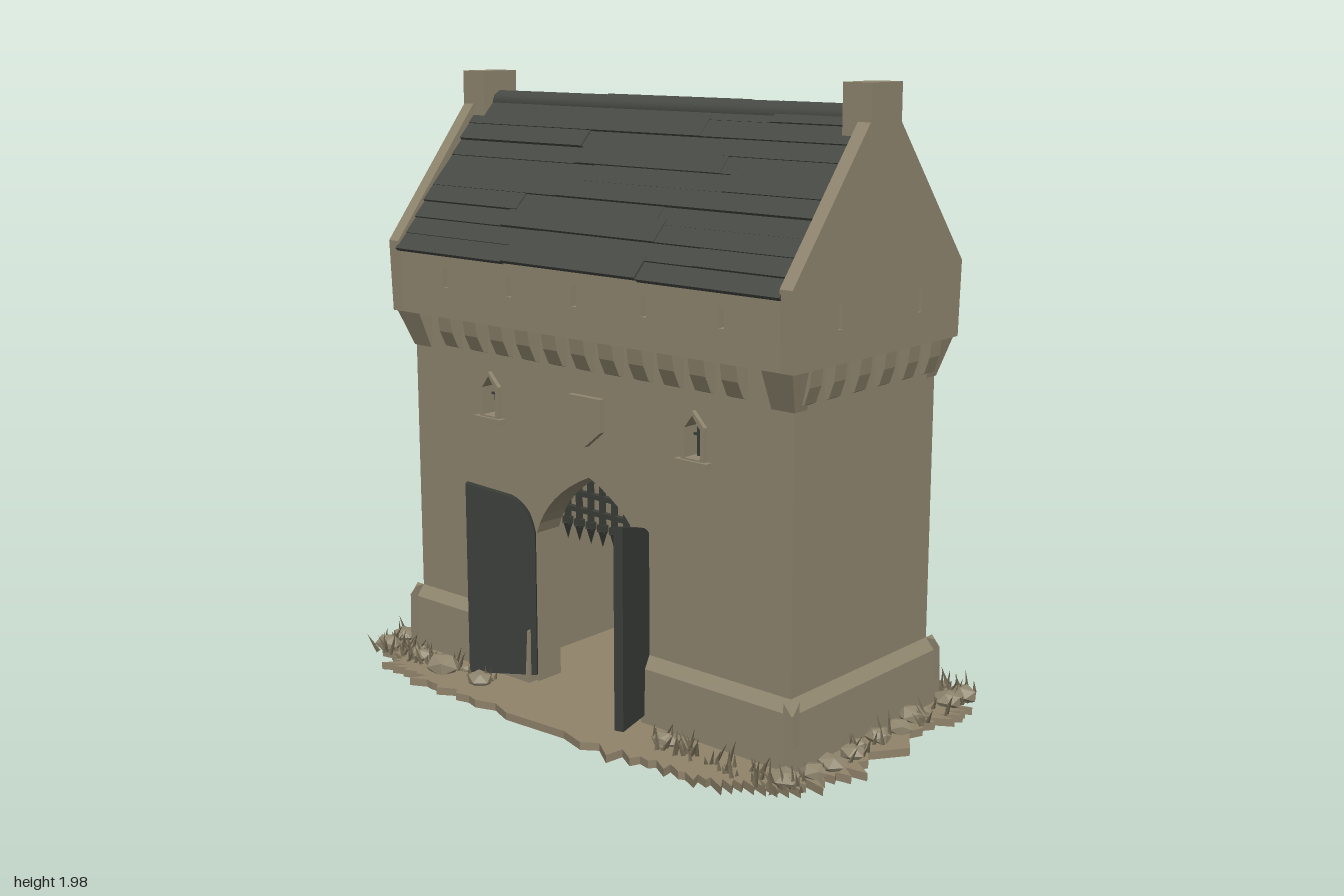
import * as THREE from 'three';
import { mergeGeometries } from 'three/addons/utils/BufferGeometryUtils.js';

const mat = (name, color) => Object.assign(new THREE.MeshStandardMaterial({ color }), { name });
const stone = mat('stone', 0x90866f);
const slate = mat('roof slate', 0x484a45);
const wood = mat('door wood', 0x393d38);
const iron = mat('dark iron', 0x3c3e39);
const earth = mat('earth', 0x90836b);
const grassMat = mat('dry grass', 0x7d735c);

let seed = 7;
const rnd = (a = 0, b = 1) => {
  seed = (seed * 16807) % 2147483647;
  return a + (b - a) * (seed / 2147483647);
};

function add(parent, name, geo, material, x = 0, y = 0, z = 0) {
  const m = new THREE.Mesh(geo, material);
  m.name = name;
  m.position.set(x, y, z);
  parent.add(m);
  return m;
}
const box = (w, h, d) => new THREE.BoxGeometry(w, h, d);
const poly = (pts) => new THREE.Shape(pts.map(([x, y]) => new THREE.Vector2(x, y)));
const path = (pts) => new THREE.Path(pts.map(([x, y]) => new THREE.Vector2(x, y)));
const extrude = (shape, depth) =>
  new THREE.ExtrudeGeometry(shape, { depth, bevelEnabled: false, curveSegments: 8 });

// A moulding: profile of (outward, up) points swept along x
const strip = (profile, width) =>
  extrude(poly(profile), width).translate(0, 0, -width / 2).rotateY(-Math.PI / 2);

// Pointed window outline
const lancet = (x, y, w, h) =>
  [[x - w / 2, y], [x + w / 2, y], [x + w / 2, y + h * 0.7], [x, y + h], [x - w / 2, y + h * 0.7]];
const rect = (x, y, w, h) =>
  [[x - w / 2, y], [x + w / 2, y], [x + w / 2, y + h], [x - w / 2, y + h]];

const plinthProfile = [[0, 0], [0.035, 0], [0.03, 0.2], [0, 0.235]];
const corbelProfile = [[-0.01, 1.09], [0.02, 1.1], [0.045, 1.15], [0.055, 1.21], [-0.01, 1.21]];
const WINDOW_X = 0.435;

// One long side: wall with gate arch, windows, corbels, parapet, portcullis, roof slope
function longSide(name) {
  const g = new THREE.Group();
  g.name = name;
  const wall = new THREE.Shape();
  wall.moveTo(-0.8, 0).lineTo(-0.235, 0).lineTo(-0.235, 0.53);
  wall.quadraticCurveTo(-0.19, 0.67, 0, 0.755).quadraticCurveTo(0.19, 0.67, 0.235, 0.53);
  wall.lineTo(0.235, 0).lineTo(0.8, 0).lineTo(0.8, 1.22).lineTo(-0.8, 1.22).closePath();
  for (const s of [-1, 1]) wall.holes.push(path(lancet(s * WINDOW_X, 0.89, 0.06, 0.13)));
  add(g, 'gateWall', extrude(wall, 0.1), stone, 0, 0, 0.25);

  for (const s of [-1, 1]) {
    add(g, 'plinth', strip(plinthProfile, 0.585), stone, s * 0.54, 0, 0.35);
    const frame = poly(lancet(s * WINDOW_X, 0.88, 0.09, 0.155));
    frame.holes.push(path(lancet(s * WINDOW_X, 0.89, 0.06, 0.13)));
    add(g, 'windowFrame', extrude(frame, 0.02), stone, 0, 0, 0.345);
    add(g, 'windowSill', box(0.125, 0.018, 0.04), stone, s * WINDOW_X, 0.876, 0.355);
    for (const dx of [-0.012, 0.012])
      add(g, 'windowBar', box(0.007, 0.12, 0.007), iron, s * WINDOW_X + dx, 0.95, 0.32);
    add(g, 'windowCrossBar', box(0.06, 0.007, 0.007), iron, s * WINDOW_X, 0.955, 0.32);
  }
  const shield = poly([[-0.068, 1.015], [-0.068, 0.91], [0, 0.855], [0.068, 0.91], [0.068, 1.015]]);
  add(g, 'blankShield', extrude(shield, 0.025), stone, 0, 0, 0.345);

  // Corbels and parapet with arrow slits
  for (let i = -5; i <= 5; i++)
    add(g, 'corbel', strip(corbelProfile, 0.06), stone, i * 0.12, 0, 0.35);
  const band = poly(rect(0, 1.2, 1.64, 0.225));
  for (const x of [-0.58, -0.285, 0, 0.285, 0.58]) band.holes.push(path(rect(x, 1.3, 0.022, 0.065)));
  add(g, 'parapet', extrude(band, 0.1), stone, 0, 0, 0.31);

  // Portcullis
  for (let i = -4; i <= 4; i++) {
    add(g, 'portcullisBar', box(0.016, 0.24, 0.016), iron, i * 0.052, 0.67, 0.235);
    const spike = add(g, 'portcullisSpike', new THREE.ConeGeometry(0.02, 0.055, 4), iron, i * 0.052, 0.52, 0.235);
    spike.rotation.x = Math.PI;
    add(g, 'spikeCollar', box(0.03, 0.025, 0.02), iron, i * 0.052, 0.555, 0.235);
  }
  for (const y of [0.6, 0.655, 0.71]) add(g, 'portcullisRail', box(0.47, 0.016, 0.02), iron, 0, y, 0.235);

  // Overlapping slate courses of uneven length
  const rows = 10, angle = Math.atan2(0.49, 0.42);
  for (let r = 0; r < rows; r++) {
    const t = (r + 0.5) / rows, cuts = [-0.8, rnd(-0.5, -0.1), rnd(0.1, 0.5), 0.8];
    for (let c = 0; c < 3; c++) {
      const lift = rnd(-0.003, 0.003);
      const slab = add(g, 'slateCourse', box(cuts[c + 1] - cuts[c], 0.014, 0.082), slate,
        (cuts[c] + cuts[c + 1]) / 2, 1.905 - t * 0.49 + lift, t * 0.42 + lift);
      slab.rotation.x = angle - 0.06;
    }
  }
  return g;
}

// One gable end: wall, plinth, corbels, gable and chimney, built facing +z
function gableEnd(name) {
  const g = new THREE.Group();
  g.name = name;
  add(g, 'endWall', box(0.7, 1.22, 0.06), stone, 0, 0.61, 0.77);
  add(g, 'plinth', strip(plinthProfile, 0.77), stone, 0, 0, 0.8);
  const gable = poly([[-0.412, 1.2], [0.412, 1.2], [0.422, 1.435], [0.075, 1.87], [-0.075, 1.87], [-0.422, 1.435]]);
  for (const x of [-0.2, 0.2]) gable.holes.push(path(rect(x, 1.3, 0.02, 0.07)));
  add(g, 'gable', extrude(gable, 0.045), stone, 0, 0, 0.795);
  add(g, 'innerPartition', box(0.64, 0.6, 0.02), stone, 0, 1.12, 0.72);
  for (const x of [-0.3, -0.185, -0.062, 0.062, 0.185, 0.3])
    add(g, 'corbel', strip(corbelProfile.map(([o, y]) => [o * 0.7, y]), 0.055), stone, x, 0, 0.8);
  add(g, 'chimney', box(0.15, 0.16, 0.1), stone, 0, 1.9, 0.792);
  return g;
}

// Corner corbel tapering down onto the wall
function cornerCorbel(sx, sz) {
  const geo = box(1, 0.13, 1);
  const p = geo.attributes.position;
  for (let i = 0; i < p.count; i++) {
    const top = p.getY(i) > 0;
    const x = p.getX(i) > 0 ? (top ? 0.832 : 0.803) : 0.72;
    const z = p.getZ(i) > 0 ? (top ? 0.408 : 0.355) : 0.3;
    p.setXYZ(i, x, p.getY(i), z);
  }
  geo.rotateY(0);
  if (sx * sz < 0) { // mirror in x and flip the winding
    geo.scale(-1, 1, 1);
    const ix = geo.index.array;
    for (let i = 0; i < ix.length; i += 3) [ix[i], ix[i + 1]] = [ix[i + 1], ix[i]];
  }
  if (sz < 0) geo.rotateY(Math.PI);
  geo.computeVertexNormals();
  return geo.translate(0, 1.145, 0);
}

export function createModel() {
  const model = new THREE.Group();
  model.name = 'gatehouse';

  const front = longSide('frontSide'), back = longSide('backSide');
  back.rotation.y = Math.PI;
  const left = gableEnd('leftGableEnd'), right = gableEnd('rightGableEnd');
  left.rotation.y = Math.PI / 2;
  right.rotation.y = -Math.PI / 2;
  model.add(front, back, left, right);
  for (const sx of [-1, 1]) for (const sz of [-1, 1])
    add(model, 'cornerCorbel', cornerCorbel(sx, sz), stone);

  // Gate chamber and roof core
  add(model, 'chamberCeiling', box(1.5, 0.03, 0.54), stone, 0, 0.8, 0);
  for (const s of [-1, 1]) add(model, 'chamberWall', box(0.03, 0.8, 0.54), stone, s * 0.42, 0.4, 0);
  const core = extrude(poly([[-0.41, 1.42], [0.41, 1.42], [0, 1.895]]), 1.6);
  add(model, 'roofCore', core.translate(0, 0, -0.8).rotateY(Math.PI / 2), slate);
  add(model, 'ridgeCap', new THREE.CylinderGeometry(0.035, 0.035, 1.6, 10).rotateZ(Math.PI / 2), slate, 0, 1.877, 0);

  // Open door leaves: hinge and direction of the free edge
  const leaf = new THREE.Shape();
  leaf.moveTo(0, 0.05).lineTo(0.225, 0.05).lineTo(0.225, 0.69);
  leaf.lineTo(0.08, 0.65).quadraticCurveTo(0.02, 0.62, 0, 0.53).closePath();
  for (const [x, z, tx, tz] of [[-0.24, 0.35, -0.43, 0.48], [0.225, 0.31, 0.285, 0.52],
    [-0.24, -0.35, -0.42, -0.475], [0.24, -0.35, 0.42, -0.475]]) {
    const d = add(model, 'doorLeaf', extrude(leaf, 0.03).translate(0, 0, -0.015), wood, x, 0, z);
    d.rotation.y = Math.atan2(z - tz, tx - x);
  }

  // Ragged ground plate
  const pow = (v) => Math.sign(v) * Math.pow(Math.abs(v), 0.5);
  const outline = [];
  for (let i = 0; i < 190; i++) {
    const a = (i / 190) * Math.PI * 2, k = i % 2 ? rnd(0.93, 0.97) : rnd(0.96, 1.035);
    outline.push([pow(Math.cos(a)) * 0.965 * k, pow(Math.sin(a)) * 0.62 * k]);
  }
  const plate = extrude(poly(outline), 0.025).rotateX(-Math.PI / 2);
  add(model, 'ground', plate, earth);

  // Stones and grass tufts around the foot of the walls, clear of the gate
  const rocks = [], blades = [];
  const rock = (x, z, r) => rocks.push(new THREE.IcosahedronGeometry(r, 0)
    .rotateY(rnd(0, 6)).scale(1.2, 0.75, 1).translate(x, 0.025 + r * 0.3, z));
  rock(0.53, -0.52, 0.055); rock(-0.55, 0.49, 0.055); rock(-0.37, 0.49, 0.04); rock(-0.68, 0.46, 0.035);
  for (let i = 0; i < 11; i++) for (const s of [-1, 1])
    rock(s * rnd(0.85, 0.89), -0.45 + i * 0.09 + rnd(-0.02, 0.02), rnd(0.02, 0.045));
  for (let i = 0; i < 6; i++) for (const s of [-1, 1])
    rock(s * rnd(0.4, 0.85), (i % 2 ? 1 : -1) * rnd(0.42, 0.46), rnd(0.015, 0.035));
  const blade = (x, z) => {
    const h = rnd(0.03, 0.085);
    blades.push(new THREE.ConeGeometry(0.009, h, 3).translate(0, h / 2, 0)
      .rotateX(rnd(-0.5, 0.5)).rotateZ(rnd(-0.5, 0.5)).translate(x, 0.02, z));
  };
  for (const sx of [-1, 1]) for (const sz of [-1, 1]) for (let i = 0; i < 60; i++)
    blade(sx * rnd(0.34, 0.88), sz * rnd(0.43, 0.52));
  for (const sx of [-1, 1]) for (let i = 0; i < 40; i++) blade(sx * rnd(0.86, 0.92), rnd(-0.48, 0.48));
  add(model, 'stones', mergeGeometries(rocks), stone);
  add(model, 'grass', mergeGeometries(blades), grassMat);
  return model;
}
